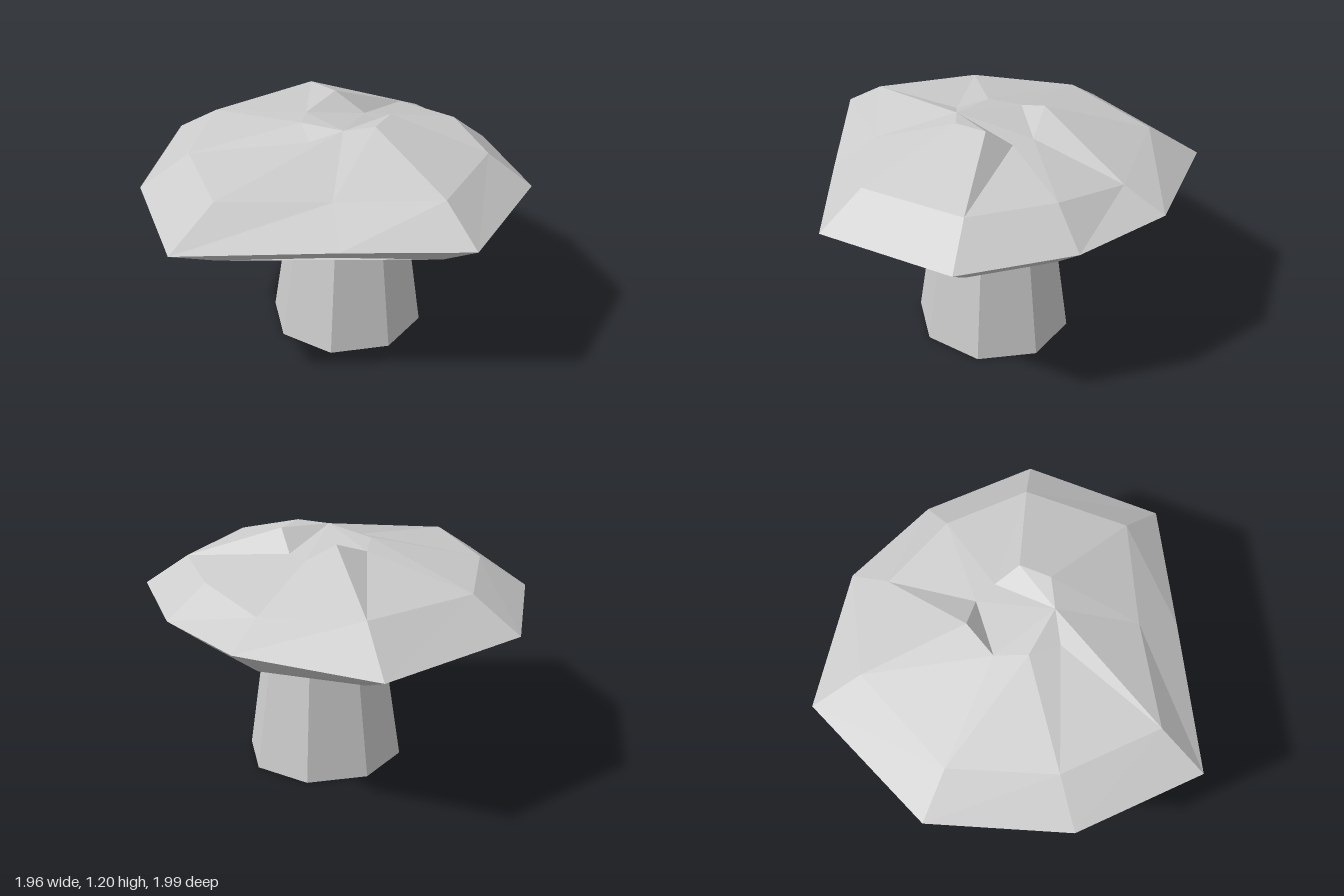
import * as THREE from 'three';

// Cap cross-sections [x, y, z], each running counterclockwise seen from above
const rim = [
  [0.2, 0.865, 0.99], [0.82, 0.87, 0.66], [0.98, 0.87, 0.1],
  [0.93, 0.87, -0.43], [0.51, 0.84, -1.0], [-0.3, 0.85, -0.95],
  [-0.8, 0.85, -0.43], [-0.98, 0.85, 0.23], [-0.33, 0.865, 0.65],
];
const shoulder = [
  [0.19, 1.03, 0.76], [0.66, 1.03, 0.5], [0.78, 1.03, 0.08],
  [0.74, 0.975, -0.33], [0.42, 1.02, -0.74], [-0.2, 1.01, -0.72],
  [-0.57, 1.02, -0.33], [-0.71, 1.025, 0.18], [-0.24, 1.01, 0.46],
];
const crown = [
  [0.16, 1.2, 0.235], [0.305, 1.2, 0.16], [0.34, 1.105, 0.03],
  [0.33, 1.1, -0.095], [0.235, 1.2, -0.225], [0.05, 1.13, -0.215],
  [-0.06, 1.15, -0.09], [-0.11, 1.12, 0.065], [0.03, 1.178, 0.15],
];

function capGeometry() {
  // The underside edge repeats the shoulder outline on a flat plane
  const under = shoulder.map(([x, , z]) => [x, 0.71, z]);
  const rings = [under, rim, shoulder, crown];
  const n = rim.length;
  const index = [];
  // Bands between neighbouring rings
  for (let r = 0; r < rings.length - 1; r++) {
    for (let i = 0; i < n; i++) {
      const j = (i + 1) % n;
      const a = r * n, b = a + n;
      index.push(a + i, a + j, b + j, a + i, b + j, b + i);
    }
  }
  // Flat underside
  for (let i = 1; i < n - 1; i++) index.push(0, i + 1, i);
  // Crumpled top with two raised peaks
  const top = 3 * n;
  const faces = [[8, 0, 1], [8, 1, 2], [3, 4, 5], [8, 2, 3], [8, 3, 5], [8, 5, 6], [8, 6, 7]];
  for (const f of faces) index.push(...f.map((k) => top + k));

  const geometry = new THREE.BufferGeometry();
  geometry.setAttribute('position', new THREE.Float32BufferAttribute(rings.flat(2), 3));
  geometry.setIndex(index);
  const faceted = geometry.toNonIndexed();
  faceted.computeVertexNormals();
  return faceted;
}

export function createModel() {
  const grey = new THREE.MeshStandardMaterial({ color: 0xcccccc, flatShading: true });
  grey.name = 'light grey';

  const model = new THREE.Group();
  model.name = 'mushroom';

  // Faceted cap
  const cap = new THREE.Mesh(capGeometry(), grey);
  cap.name = 'cap';
  model.add(cap);

  // Tapered eight-sided stem, set off-centre
  const stem = new THREE.Mesh(new THREE.CylinderGeometry(0.3, 0.405, 0.71, 8), grey);
  stem.name = 'stem';
  stem.scale.z = 0.965;
  stem.position.set(0.155, 0.355, 0.016);
  model.add(stem);

  return model;
}
